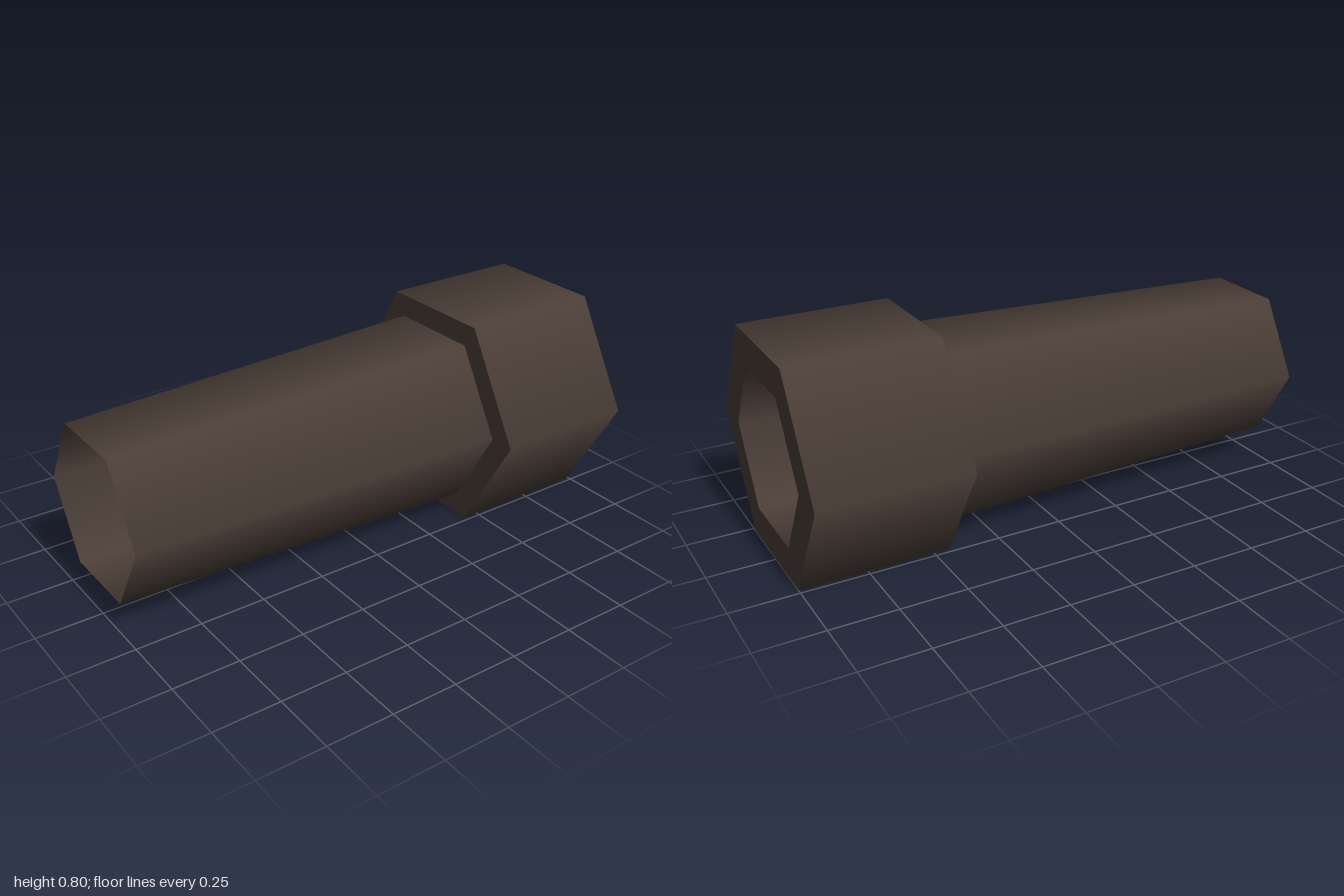
import * as THREE from 'three';

const SIDES = 6;
const CENTRE_Y = 0.4;

export function createModel() {
  const group = new THREE.Group();
  group.name = 'hexSleeve';
  const darkBrown = new THREE.MeshStandardMaterial({ color: 0x4a3d36, side: THREE.DoubleSide });
  darkBrown.name = 'darkBrown';

  function add(name, geometry, z) {
    const mesh = new THREE.Mesh(geometry, darkBrown);
    mesh.name = name;
    mesh.position.set(0, CENTRE_Y, z);
    group.add(mesh);
  }

  // Open six-sided wall along z, smooth shaded, with corners on the x axis
  function wall(name, rFront, rBack, zFront, zBack) {
    const g = new THREE.CylinderGeometry(rFront, rBack, zFront - zBack, SIDES, 1, true, Math.PI / 6);
    g.rotateX(Math.PI / 2);
    add(name, g, (zFront + zBack) / 2);
  }

  // Flat six-sided ring closing an end of the collar
  function ring(name, rInner, rOuter, z, facesBack) {
    const g = new THREE.RingGeometry(rInner, rOuter, SIDES, 1);
    if (facesBack) g.rotateY(Math.PI);
    add(name, g, z);
  }

  // Wide collar at the back
  wall('collarWall', 0.462, 0.462, -0.44, -1);
  ring('collarFrontFace', 0.305, 0.462, -0.44, false);
  ring('collarBackFace', 0.317, 0.462, -1, true);

  // Thin tapered barrel, and the shorter bore tube inside it
  wall('barrel', 0.314, 0.363, 1, -0.44);
  wall('innerBore', 0.275, 0.317, 0.45, -1);

  return group;
}
